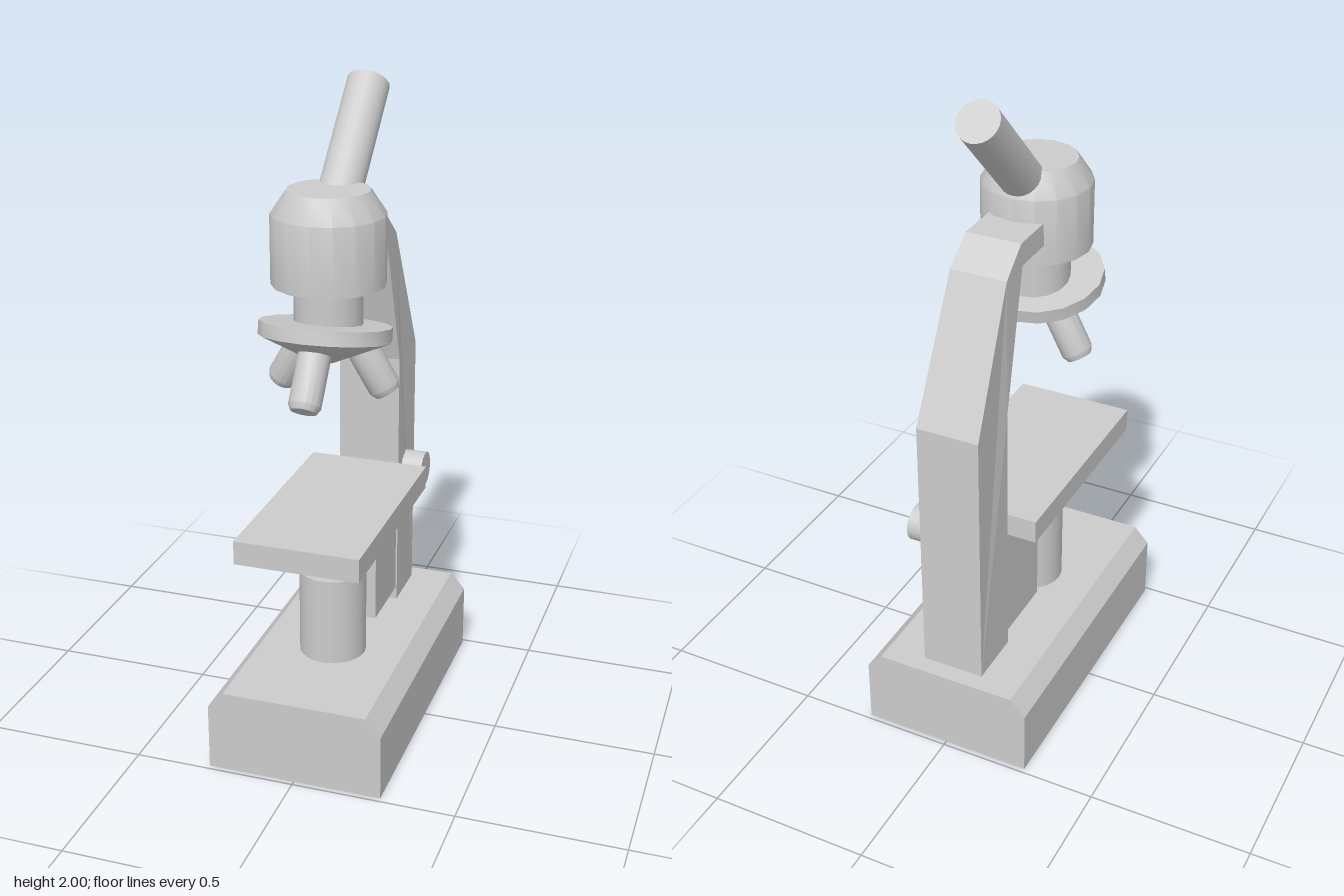
import * as THREE from 'three';
import { toCreasedNormals } from 'three/addons/utils/BufferGeometryUtils.js';

export function createModel() {
  const model = new THREE.Group();
  model.name = 'microscope';
  const grey = new THREE.MeshStandardMaterial({ color: 0xcccccc });

  const add = (name, geometry, x = 0, y = 0, z = 0, parent = model) => {
    const mesh = new THREE.Mesh(geometry, grey);
    mesh.name = name;
    mesh.position.set(x, y, z);
    parent.add(mesh);
    return mesh;
  };
  const shapeOf = (points) => new THREE.Shape(points.map(([x, y]) => new THREE.Vector2(x, y)));
  const extrude = (points, depth) =>
    new THREE.ExtrudeGeometry(shapeOf(points), { depth, bevelEnabled: false }).translate(0, 0, -depth / 2);
  // Turned part from [radius, height] pairs, listed bottom to top
  const turned = (points, sides = 16) =>
    toCreasedNormals(new THREE.LatheGeometry(points.map(([r, y]) => new THREE.Vector2(r, y)), sides), 0.6);
  const cylinder = (r, y0, y1, sides = 24) =>
    new THREE.CylinderGeometry(r, r, y1 - y0, sides).translate(0, (y0 + y1) / 2, 0);

  // Hollow base, open underneath: a chamfered channel closed by two end plates
  const outer = [[-0.27, 0], [-0.27, 0.207], [-0.222, 0.26], [0.222, 0.26], [0.27, 0.207], [0.27, 0]];
  const t = 0.004;
  const inner = outer.map(([x, y]) => [x - Math.sign(x) * t, y > 0 ? y - t : 0]).reverse();
  const base = new THREE.Group();
  base.name = 'base';
  model.add(base);
  add('baseShell', extrude([...outer, ...inner], 0.97 - 2 * t), 0, 0, 0, base);
  for (const side of [-1, 1]) {
    add(side > 0 ? 'baseFront' : 'baseBack', extrude(outer, t), 0, 0, side * (0.485 - t / 2), base);
  }

  // Curved arm: side profile in z and y, narrowing towards the top
  const arm = extrude([
    [-0.43, 0.255], [-0.25, 0.255], [-0.248, 1.1], [-0.132, 1.517], [0.006, 1.517],
    [0.006, 1.586], [-0.137, 1.586], [-0.23, 1.512], [-0.43, 1.1],
  ], 0.196).rotateY(-Math.PI / 2);
  const pos = arm.attributes.position;
  for (let i = 0; i < pos.count; i++) {
    const k = THREE.MathUtils.clamp((pos.getY(i) - 1.1) / 0.486, 0, 1);
    pos.setX(i, pos.getX(i) * (1 - 0.12 * k));
  }
  arm.computeVertexNormals();
  add('arm', arm);

  // Stage with its bracket and the focus knob
  add('stage', new THREE.BoxGeometry(0.38, 0.073, 0.695), 0, 0.7115, 0.0985);
  add('stageBracket', new THREE.BoxGeometry(0.186, 0.38, 0.222), 0, 0.49, -0.14);
  add('focusKnob', new THREE.CylinderGeometry(0.057, 0.057, 0.08, 24).rotateZ(Math.PI / 2), 0.124, 0.7, -0.337);

  // Condenser under the stage, and the lamp column on the base
  add('condenser', cylinder(0.103, 0.6, 0.68), 0, 0, 0.116);
  add('lampColumn', cylinder(0.103, 0.225, 0.537), 0, 0, 0.116);

  // Head and neck
  add('head', turned([[0, 1.453], [0.166, 1.453], [0.166, 1.655], [0.12, 1.724], [0, 1.724]]), 0, 0, 0.144);
  add('neck', cylinder(0.1, 1.3, 1.46, 16), 0, 0, 0.148);

  // Eyepiece tube leaning back at 45 degrees
  const tube = add('eyepieceTube', cylinder(0.064, -0.5, 0), 0, 1.957, -0.22);
  tube.rotation.x = -Math.PI / 4;

  // Tilted turret plate with a shallow cone below
  const turret = add('turret',
    turned([[0, -0.115], [0.03, -0.112], [0.193, -0.042], [0.193, 0], [0, 0]]), 0, 1.34, 0.17);
  turret.rotation.x = -0.208;

  // Three objectives, each running from the turret to its tip
  const objective = (name, from, to) => {
    const start = new THREE.Vector3(...from);
    const axis = new THREE.Vector3(...to).sub(start);
    const len = axis.length();
    const mesh = add(name,
      turned([[0, 0], [0.048, 0], [0.048, len - 0.018], [0.038, len], [0, len]], 18), ...from);
    mesh.quaternion.setFromUnitVectors(new THREE.Vector3(0, 1, 0), axis.normalize());
  };
  objective('frontObjective', [0, 1.285, 0.262], [0, 1.14, 0.367]);
  objective('leftObjective', [0.082, 1.27, 0.112], [0.165, 1.125, 0.102]);
  objective('rightObjective', [-0.082, 1.27, 0.112], [-0.165, 1.125, 0.102]);

  return model;
}
